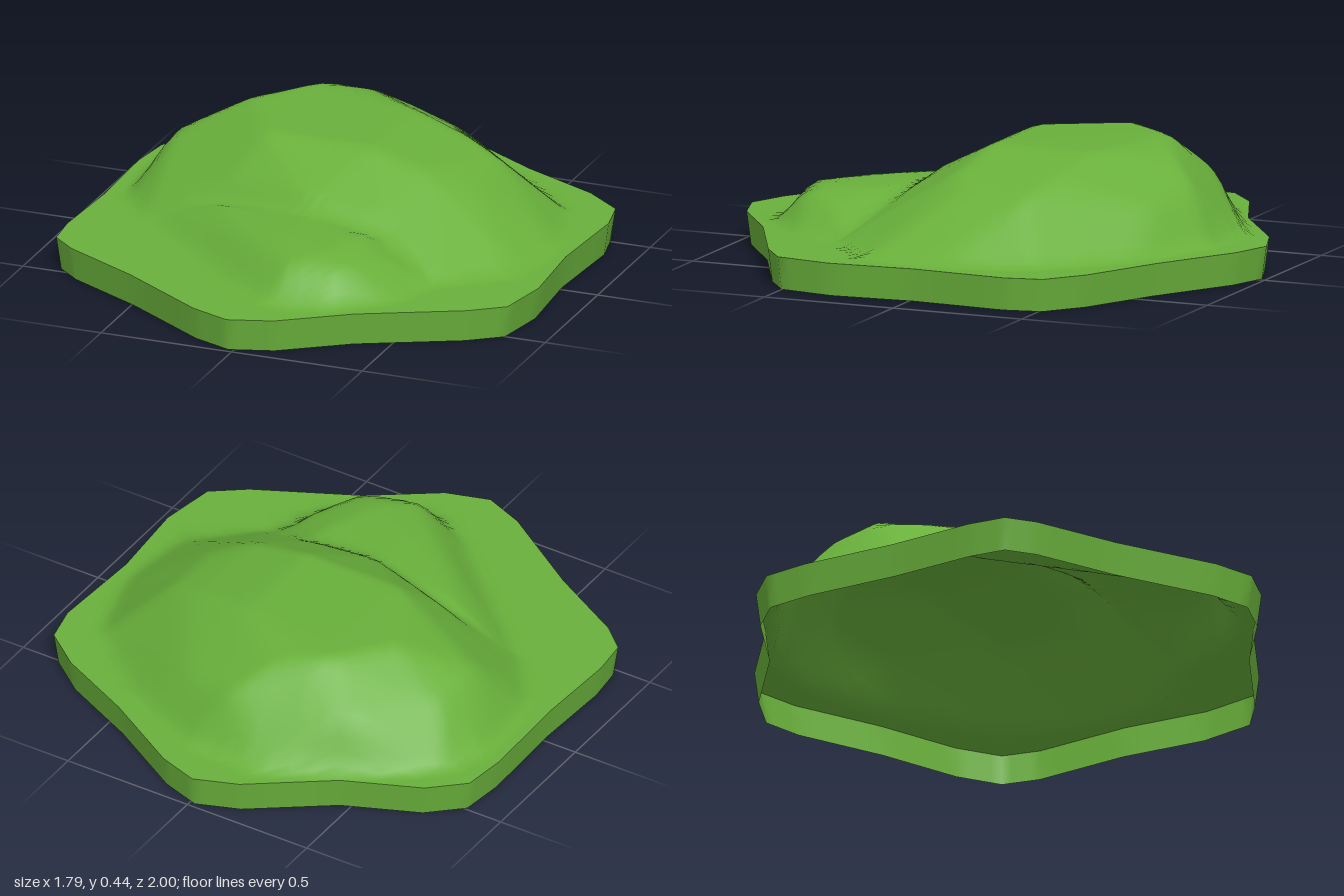
import * as THREE from 'three';
import { mergeVertices } from 'three/addons/utils/BufferGeometryUtils.js';
import { ConvexGeometry } from 'three/addons/geometries/ConvexGeometry.js';

const RIM = 0.12;

// Tile outline as x, z pairs, clockwise from the back tip
const OUTLINE = [
  [-0.02, -1], [0.13, -0.95], [0.43, -0.77], [0.72, -0.63], [0.86, -0.52], [0.89, -0.38],
  [0.87, -0.02], [0.895, 0.3], [0.86, 0.51], [0.74, 0.6], [0.38, 0.78], [0.14, 0.95],
  [-0.02, 1], [-0.17, 0.94], [-0.5, 0.72], [-0.79, 0.56], [-0.88, 0.48], [-0.895, 0.34],
  [-0.88, 0.02], [-0.89, -0.33], [-0.87, -0.5], [-0.75, -0.61], [-0.47, -0.73], [-0.18, -0.94],
];

// Corners of each hill: the raised ones as x, y, z and the foot as x, z
const MAIN_TOP = [
  [-0.44, 0.44, -0.3], [-0.26, 0.445, -0.52], [-0.27, 0.44, 0], [0.13, 0.44, -0.4],
  [0.13, 0.44, 0], [0.36, 0.385, 0.02], [0.36, 0.385, -0.35], [0.5, 0.34, -0.3],
  [0.5, 0.335, -0.05], [-0.68, 0.33, -0.15], [-0.66, 0.3, -0.35], [-0.1, 0.41, -0.6],
  [0, 0.32, -0.72], [0.22, 0.28, -0.66], [-0.42, 0.3, -0.62], [0, 0.31, 0.26],
  [0.25, 0.29, 0.25], [-0.33, 0.31, 0.15], [0.5, 0.24, 0.2],
];
const MAIN_FOOT = [
  [-0.82, -0.3], [-0.8, 0], [-0.65, 0.2], [-0.3, 0.3], [0.1, 0.35], [0.55, 0.42], [0.78, 0.2],
  [0.82, -0.1], [0.72, -0.42], [0.4, -0.7], [0.1, -0.83], [-0.2, -0.83], [-0.55, -0.65], [-0.76, -0.48],
];
const SHOULDER_TOP = [
  [0, 0.27, 0.28], [0, 0.268, 0.5], [0.27, 0.265, 0.4], [0.2, 0.262, 0.6], [0.1, 0.245, 0.71],
  [0.39, 0.22, 0.5], [0.3, 0.235, 0.66], [-0.18, 0.24, 0.46], [-0.35, 0.245, 0.25], [-0.55, 0.18, 0.18],
];
const SHOULDER_FOOT = [
  [-0.64, 0.2], [-0.12, 0.69], [0.06, 0.8], [0.3, 0.77], [0.45, 0.62], [0.52, 0.4], [0.45, 0.18], [-0.55, 0.08],
];

// Upward facing planes of the convex hill through the given corners
function hillPlanes(top, foot) {
  const corners = [...top, ...foot.map(([x, z]) => [x, RIM, z])].map((p) => new THREE.Vector3(...p));
  const position = new ConvexGeometry(corners).getAttribute('position');
  const planes = [];
  for (let i = 0; i < position.count; i += 3) {
    const [a, b, c] = [0, 1, 2].map((k) => new THREE.Vector3().fromBufferAttribute(position, i + k));
    const plane = new THREE.Plane().setFromCoplanarPoints(a, b, c);
    if (plane.normal.y > 0.01) planes.push(plane);
  }
  return planes;
}

const HILLS = [hillPlanes(MAIN_TOP, MAIN_FOOT), hillPlanes(SHOULDER_TOP, SHOULDER_FOOT)];

function rawHeight(x, z) {
  const tops = HILLS.map((planes) => Math.min(
    ...planes.map(({ normal: n, constant }) => -(n.x * x + n.z * z + constant) / n.y)));
  return Math.max(RIM, ...tops);
}

// Ground height, averaged over a small patch to soften the creases
function height(x, z) {
  let sum = 0;
  for (const dx of [-0.02, 0, 0.02]) for (const dz of [-0.02, 0, 0.02]) sum += rawHeight(x + dx, z + dz);
  return sum / 9;
}

// Skin a list of closed loops, ordered from the inside outwards or top to bottom
function loft(loops) {
  const n = loops[0].length, index = [];
  for (let r = 0; r < loops.length - 1; r++) {
    for (let i = 0; i < n; i++) {
      const j = (i + 1) % n, a = r * n, b = a + n;
      if (r > 0 || loops.length === 2) index.push(a + i, a + j, b + j);
      index.push(a + i, b + j, b + i);
    }
  }
  let geometry = new THREE.BufferGeometry();
  geometry.setAttribute('position', new THREE.Float32BufferAttribute(loops.flat(2), 3));
  geometry.setIndex(index);
  geometry = mergeVertices(geometry);
  geometry.computeVertexNormals();
  return geometry;
}

export function createModel() {
  const group = new THREE.Group();
  group.name = 'hillTile';
  const grass = new THREE.MeshStandardMaterial({ color: 0x69b03b, side: THREE.DoubleSide });
  grass.name = 'grass green';

  // Outline with each edge divided in four
  const edge = OUTLINE.flatMap(([x, z], i) => {
    const [nx, nz] = OUTLINE[(i + 1) % OUTLINE.length];
    return [0, 0.25, 0.5, 0.75].map((t) => [x + (nx - x) * t, z + (nz - z) * t]);
  });

  // Rolling ground: a large hill behind and a low shoulder in front
  const rings = 36, loops = [];
  for (let r = 0; r <= rings; r++) {
    const s = r / rings;
    loops.push(edge.map(([x, z]) => [x * s, r === rings ? RIM : height(x * s, z * s), z * s]));
  }
  const ground = new THREE.Mesh(loft(loops), grass);
  ground.name = 'hillyGround';

  // Thin skirt round the edge, open underneath
  const skirt = new THREE.Mesh(loft([
    edge.map(([x, z]) => [x, RIM, z]),
    edge.map(([x, z]) => [x * 0.983, 0, z * 0.983]),
  ]), grass);
  skirt.name = 'edgeSkirt';

  group.add(ground, skirt);
  return group;
}
